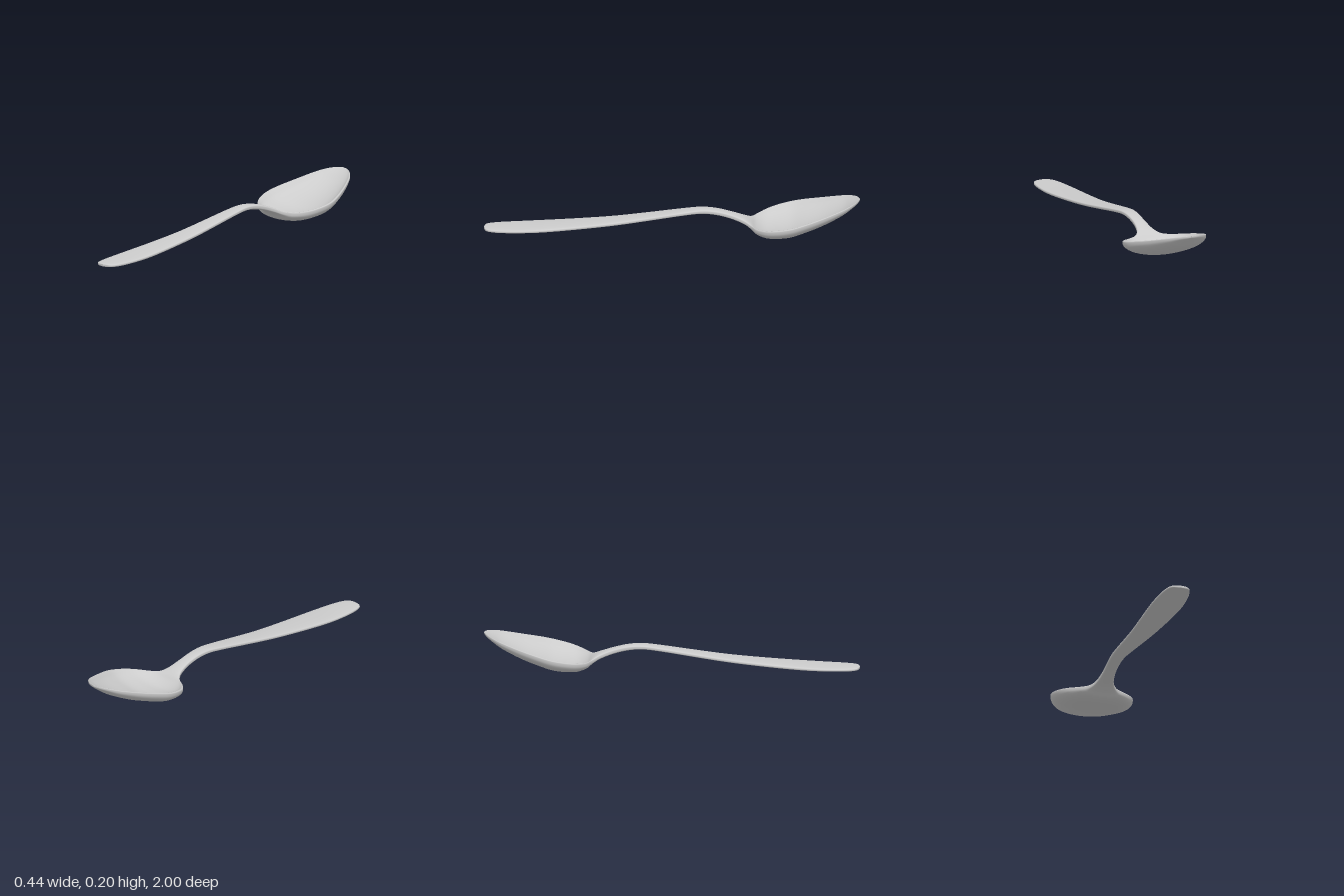
import * as THREE from 'three';

// Stations from handle end to bowl tip: z, half width, rim height, half thickness, bowl depth
const STATIONS = [
  [1.0, 0, 0.025, 0.006, 0], [0.985, 0.048, 0.025, 0.009, 0], [0.92, 0.071, 0.025, 0.011, 0],
  [0.8, 0.082, 0.028, 0.011, 0], [0.68, 0.082, 0.034, 0.012, 0], [0.5, 0.073, 0.048, 0.012, 0],
  [0.3, 0.061, 0.068, 0.012, 0], [0.1, 0.05, 0.096, 0.012, 0], [-0.05, 0.042, 0.118, 0.012, 0],
  [-0.15, 0.036, 0.129, 0.013, 0], [-0.23, 0.033, 0.124, 0.014, 0], [-0.31, 0.034, 0.105, 0.015, 0],
  [-0.38, 0.047, 0.08, 0.016, 0], [-0.42, 0.076, 0.063, 0.016, 0.006], [-0.45, 0.125, 0.06, 0.015, 0.027],
  [-0.5, 0.178, 0.07, 0.013, 0.055], [-0.56, 0.208, 0.083, 0.013, 0.068], [-0.63, 0.22, 0.098, 0.012, 0.075],
  [-0.7, 0.208, 0.115, 0.012, 0.07], [-0.8, 0.172, 0.14, 0.011, 0.06], [-0.9, 0.125, 0.168, 0.01, 0.04],
  [-0.95, 0.088, 0.183, 0.009, 0.022], [-0.985, 0.045, 0.193, 0.007, 0.008], [-1.0, 0, 0.196, 0.004, 0],
];
const AROUND = 48;
const STEPS = (STATIONS.length - 1) * 4;

// Smooth curve through chosen station columns
const track = (a, b, c) => new THREE.CatmullRomCurve3(
  STATIONS.map((s) => new THREE.Vector3(s[a], s[b], s[c])), false, 'catmullrom', 0.5);

function spoonGeometry() {
  const outline = track(1, 2, 0);
  const section = track(3, 4, 0);
  const positions = [];
  const index = [];
  for (let j = 0; j <= STEPS; j++) {
    const { x: width, y: rim, z } = outline.getPoint(j / STEPS);
    const { x: thick, y: depth } = section.getPoint(j / STEPS);
    for (let i = 0; i < AROUND; i++) {
      const a = (i / AROUND) * Math.PI * 2;
      const s = Math.cos(a);
      const side = Math.sin(a);
      const edge = Math.abs(side);
      // The hollow starts inside the rounded lip; the underside is elliptical
      const dip = side > 0 ? Math.max(0, 1 - (s / 0.93) ** 2) ** 0.65 : edge;
      const y = rim + Math.sign(side) * thick * Math.sqrt(edge) - Math.max(0, depth) * dip;
      positions.push(Math.max(0, width) * s, y, z);
      if (j < STEPS) {
        const p = j * AROUND + i;
        const q = j * AROUND + ((i + 1) % AROUND);
        index.push(p, p + AROUND, q + AROUND, p, q + AROUND, q);
      }
    }
  }
  const geometry = new THREE.BufferGeometry();
  geometry.setAttribute('position', new THREE.Float32BufferAttribute(positions, 3));
  geometry.setIndex(index);
  geometry.computeVertexNormals();
  return geometry;
}

export function createModel() {
  const group = new THREE.Group();
  group.name = 'spoon';
  // Handle, neck and bowl are one continuous piece
  const spoon = new THREE.Mesh(spoonGeometry(), new THREE.MeshStandardMaterial({ color: 0xcccccc }));
  spoon.name = 'handleAndBowl';
  group.add(spoon);
  return group;
}
